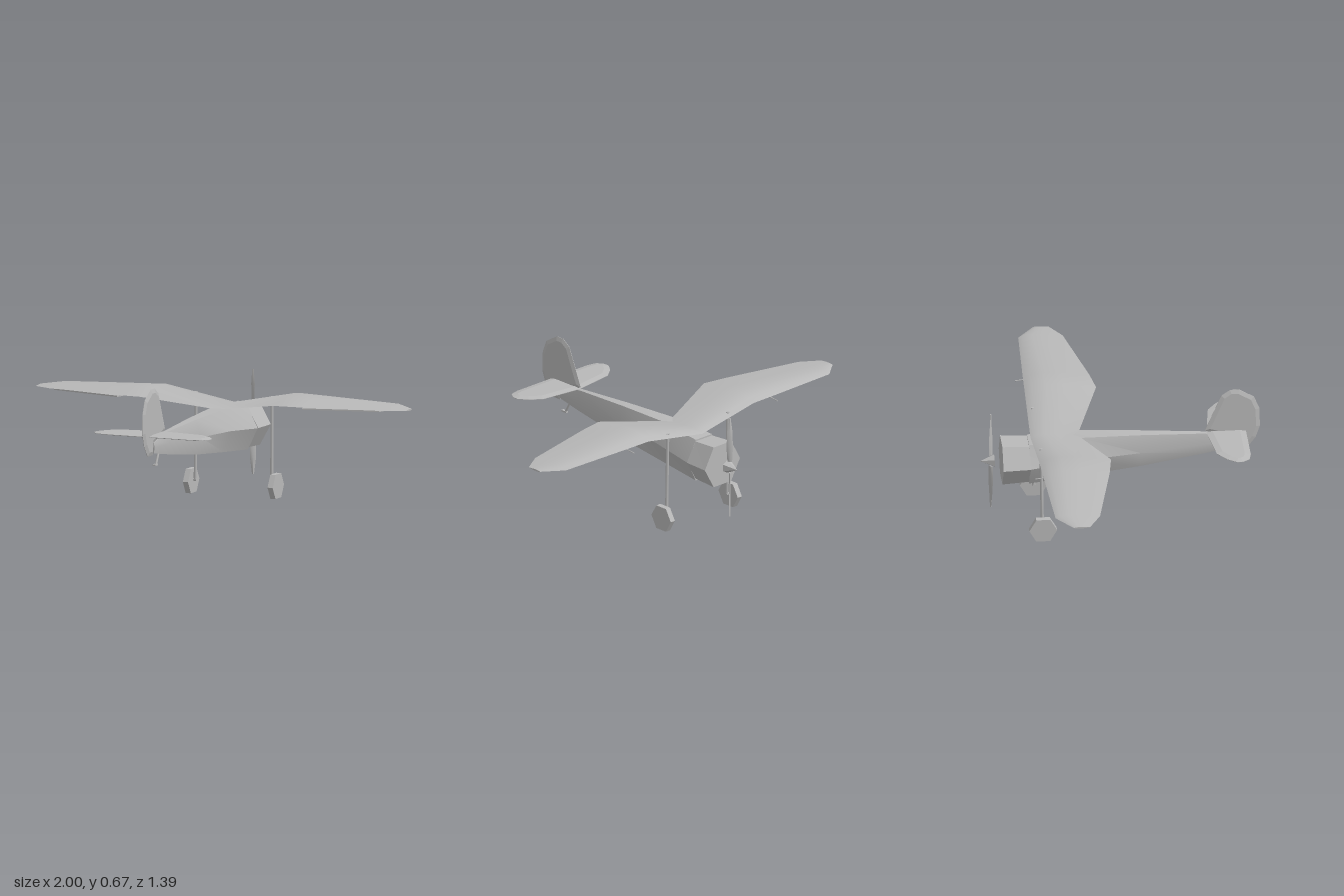
import * as THREE from 'three';
import { toCreasedNormals } from 'three/addons/utils/BufferGeometryUtils.js';

const grey = new THREE.MeshStandardMaterial({ color: 0xb8b8b8 });
grey.name = 'plain grey';

// Skins a row of equal-length [x, y, z] rings, caps both ends and faces it outwards.
function loft(rings, crease = 0.6) {
  const n = rings[0].length, tris = [];
  for (let r = 0; r < rings.length - 1; r++) {
    for (let i = 0; i < n; i++) {
      const j = (i + 1) % n, a = rings[r], b = rings[r + 1];
      tris.push([a[i], a[j], b[j]], [a[i], b[j], b[i]]);
    }
  }
  const first = rings[0], last = rings[rings.length - 1];
  for (let i = 1; i < n - 1; i++) {
    tris.push([first[0], first[i + 1], first[i]], [last[0], last[i], last[i + 1]]);
  }
  const v = (p) => new THREE.Vector3(...p);
  const volume = tris.reduce((s, [a, b, c]) => s + v(a).dot(v(b).cross(v(c))), 0);
  if (volume < 0) tris.forEach((t) => t.reverse());
  const geo = new THREE.BufferGeometry();
  geo.setAttribute('position', new THREE.Float32BufferAttribute(tris.flat(2), 3));
  return toCreasedNormals(geo, crease);
}

// Flat-topped hexagon across the fuselage axis.
function hexRing(z, halfWidth, bottom, top) {
  const mid = (bottom + top) / 2, w = halfWidth, h = w / 2;
  return [[w, mid, z], [h, top, z], [-h, top, z], [-w, mid, z], [-h, bottom, z], [h, bottom, z]];
}

// Thin tail surface with edges thinned all round.
function tailSurface(points, thickness, inset) {
  const shape = new THREE.Shape(points.map(([x, y]) => new THREE.Vector2(x, y)));
  const geo = new THREE.ExtrudeGeometry(shape, {
    depth: 0.002, bevelEnabled: true, bevelSegments: 1,
    bevelThickness: thickness / 2, bevelSize: inset, bevelOffset: -inset,
  });
  return geo.translate(0, 0, -0.001);
}

// Straight round bar between two points.
function bar(from, to, radius, sides = 6) {
  const a = new THREE.Vector3(...from), b = new THREE.Vector3(...to);
  const dir = b.clone().sub(a);
  const geo = new THREE.CylinderGeometry(radius, radius, dir.length(), sides);
  geo.applyQuaternion(new THREE.Quaternion().setFromUnitVectors(
    new THREE.Vector3(0, 1, 0), dir.normalize()));
  return geo.translate(...a.add(b).multiplyScalar(0.5).toArray());
}

export function createModel() {
  const model = new THREE.Group();
  model.name = 'aeroplane';
  const add = (name, geometry) => {
    const mesh = new THREE.Mesh(geometry, grey);
    mesh.name = name;
    model.add(mesh);
    return mesh;
  };

  // Fuselage and engine cowl; the nose points to -z
  add('fuselage', loft([
    hexRing(-0.455, 0.11, 0.225, 0.442),
    hexRing(-0.2, 0.077, 0.246, 0.46),
    hexRing(0.1, 0.05, 0.275, 0.45),
    hexRing(0.42, 0.022, 0.321, 0.433),
    hexRing(0.565, 0.008, 0.345, 0.398),
  ]));
  add('engineCowl', loft([
    hexRing(-0.588, 0.12, 0.23, 0.442),
    hexRing(-0.452, 0.113, 0.236, 0.434),
  ]));

  // Gull wing: x, leading z, trailing z, edge y, top y, bottom y
  const stations = [
    [0, -0.443, -0.21, 0.455, 0.468, 0.443],
    [0.36, -0.435, -0.08, 0.514, 0.543, 0.508],
    [0.49, -0.43, -0.1, 0.512, 0.538, 0.507],
    [0.9, -0.411, -0.19, 0.507, 0.52, 0.5],
    [1, -0.33, -0.25, 0.504, 0.508, 0.5],
  ];
  const wingRing = ([x, lead, trail, edge, top, bottom], side) => {
    const z = (t) => lead + (trail - lead) * t;
    const y = (t) => edge + (top - edge) * t;
    return [
      [side * x, edge, lead], [side * x, y(0.7), z(0.1)], [side * x, top, z(0.3)],
      [side * x, y(0.85), z(0.55)], [side * x, edge, trail],
      [side * x, bottom, z(0.6)], [side * x, bottom, z(0.15)],
    ];
  };
  add('wing', loft([
    ...stations.slice(1).reverse().map((s) => wingRing(s, -1)),
    ...stations.map((s) => wingRing(s, 1)),
  ], 0.7));

  // Tail fin with rudder, and tailplane
  const fin = tailSurface([
    [0.422, 0.444], [0.563, 0.396], [0.57, 0.337], [0.633, 0.337], [0.674, 0.393],
    [0.696, 0.456], [0.693, 0.556], [0.667, 0.622], [0.593, 0.667], [0.548, 0.667],
    [0.504, 0.637], [0.448, 0.504],
  ], 0.014, 0.02);
  add('tailFin', fin.rotateY(-Math.PI / 2));

  const half = [[0.22, 0.46], [0.28, 0.505], [0.312, 0.55], [0.312, 0.58], [0.29, 0.615], [0.24, 0.626]];
  const plane = [[0, 0.43], ...half, ...half.map(([x, z]) => [-x, z]).reverse()];
  const tailplane = tailSurface(plane.map(([x, z]) => [x, -z]).reverse(), 0.012, 0.03);
  add('tailplane', tailplane.rotateX(-Math.PI / 2).translate(0, 0.434, 0));

  // Propeller spinner and two twisted blades
  const spinner = new THREE.ConeGeometry(0.034, 0.07, 6).toNonIndexed();
  spinner.computeVertexNormals();
  add('spinner', spinner.rotateX(-Math.PI / 2).translate(0, 0.335, -0.658));
  for (const side of [1, -1]) {
    const ring = ([r, width, angle]) => [[width, 0], [0, 0.004], [-width, 0], [0, -0.004]].map(([u, v]) => [
      side * (u * Math.cos(angle) - v * Math.sin(angle)),
      0.335 + side * r,
      -0.64 + u * Math.sin(angle) + v * Math.cos(angle),
    ]);
    add('propellerBlade', loft(
      [[0.03, 0.012, 1.0], [0.1, 0.016, 0.75], [0.19, 0.014, 0.45], [0.262, 0.005, 0.3]].map(ring)));
  }

  // Main gear, gun barrels and ailerons, mirrored
  for (const side of [1, -1]) {
    add('gearLeg', bar([side * 0.207, 0.06, -0.405], [side * 0.205, 0.505, -0.412], 0.008));
    add('axle', bar([side * 0.2, 0.065, -0.405], [side * 0.225, 0.065, -0.405], 0.008));

    const wheel = new THREE.CylinderGeometry(0.069, 0.069, 0.028, 6).toNonIndexed();
    wheel.computeVertexNormals();
    wheel.rotateZ(Math.PI / 2).scale(1, 1.01, 1);
    add('wheel', wheel.translate(side * 0.229, 0.0605, -0.404));

    add('wingProbe', bar([side * 0.49, 0.499, -0.468], [side * 0.49, 0.506, -0.4], 0.003));

    const corners = [[0.48, -0.215], [0.9, -0.285], [0.88, -0.2], [0.5, -0.115]];
    const layer = (y) => corners.map(([x, z]) => [side * x, y, z]);
    add('aileron', loft([layer(0.499), layer(0.506)]));
  }

  // Tail skid
  add('tailSkidLeg', bar([0, 0.34, 0.5], [0, 0.284, 0.53], 0.006));
  add('tailSkidFoot', new THREE.BoxGeometry(0.014, 0.008, 0.034).translate(0, 0.284, 0.537));

  return model;
}
